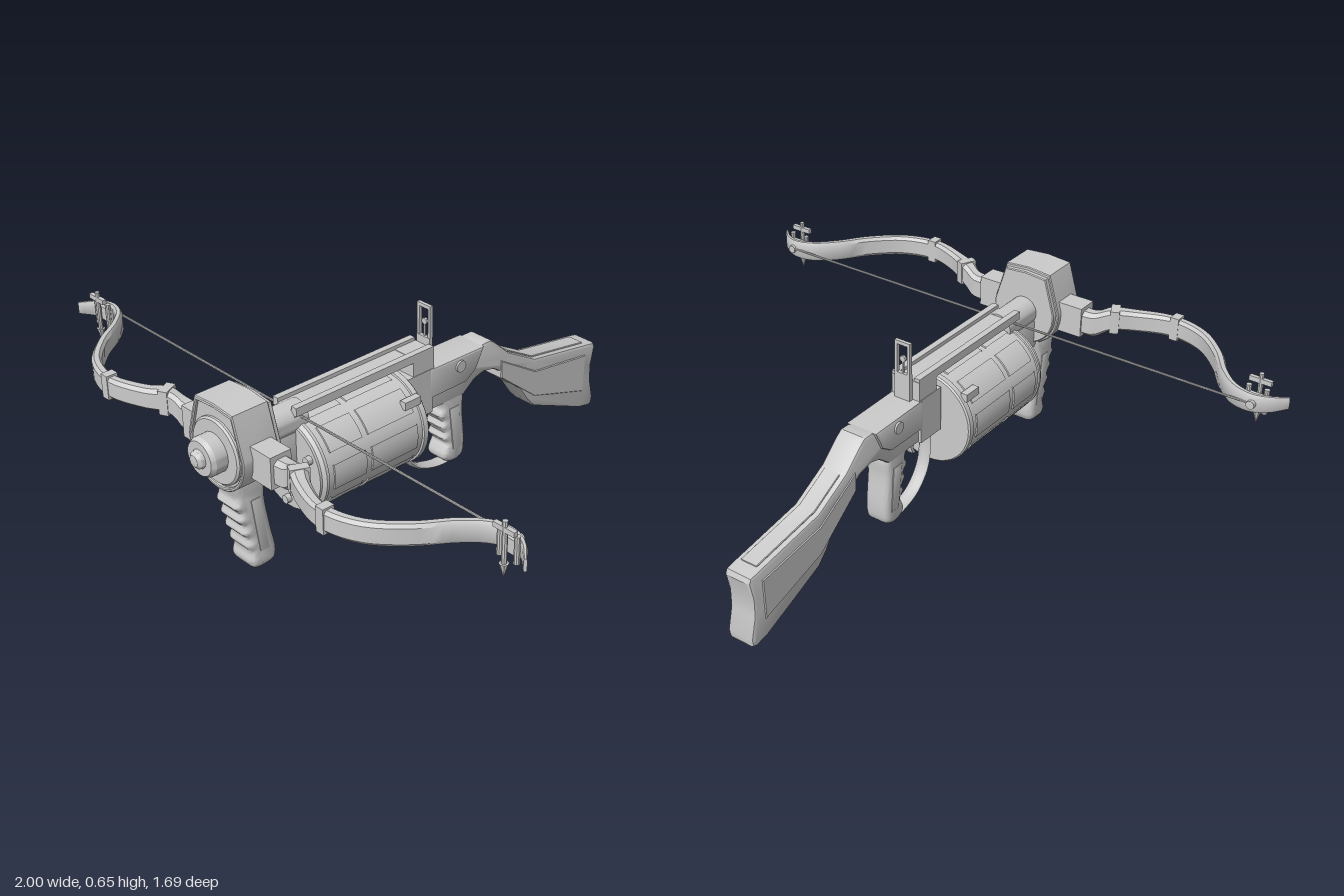
import * as THREE from 'three';
import { toCreasedNormals } from 'three/addons/utils/BufferGeometryUtils.js';

const V3 = (x, y, z) => new THREE.Vector3(x, y, z);
const V2 = (p) => new THREE.Vector2(p[0], p[1]);

export function createModel() {
  const model = new THREE.Group();
  const material = new THREE.MeshStandardMaterial({ color: 0xcccccc });

  const add = (name, geometry, x = 0, y = 0, z = 0, crease = 0.6) => {
    const mesh = new THREE.Mesh(toCreasedNormals(geometry, crease), material);
    mesh.name = name;
    mesh.position.set(x, y, z);
    model.add(mesh);
    return mesh;
  };
  // Box given by its limits
  const box = (name, x0, x1, y0, y1, z0, z1) =>
    add(name, new THREE.BoxGeometry(x1 - x0, y1 - y0, z1 - z0), (x0 + x1) / 2, (y0 + y1) / 2, (z0 + z1) / 2);
  // Cylinder along z
  const rod = (name, r, z0, z1, x, y, sides = 24) =>
    add(name, new THREE.CylinderGeometry(r, r, z1 - z0, sides).rotateX(Math.PI / 2), x, y, (z0 + z1) / 2);
  // Turned part along z, from [radius, z] pairs
  const turned = (name, pts, y) =>
    add(name, new THREE.LatheGeometry(pts.map(V2), 40).rotateX(Math.PI / 2), 0, y, 0, 0.5);
  // Side profile of [z, y] points, extruded across x
  const profile = (name, pts, width, bevel = 0.006, smooth = false, segs = 2, x = 0) => {
    let list = pts.map(V2);
    if (smooth) {
      const curve = new THREE.CatmullRomCurve3(pts.map((p) => V3(p[0], p[1], 0)), true, 'centripetal');
      list = curve.getPoints(pts.length * 4).slice(0, -1).map((p) => new THREE.Vector2(p.x, p.y));
    }
    const g = new THREE.ExtrudeGeometry(new THREE.Shape(list), {
      depth: width - 2 * bevel, bevelEnabled: bevel > 0, bevelSize: bevel, bevelThickness: bevel,
      bevelOffset: -bevel, bevelSegments: segs,
    });
    g.translate(0, 0, bevel - width / 2).rotateY(-Math.PI / 2);
    return add(name, g, x);
  };

  // Receiver and shoulder stock
  box('receiver', -0.055, 0.055, 0.3, 0.455, -0.04, 0.065);
  profile('stock', [
    [-0.035, 0.45], [-0.25, 0.445], [-0.275, 0.453], [-0.31, 0.453], [-0.335, 0.435], [-0.40, 0.375],
    [-0.53, 0.303], [-0.81, 0.257], [-0.835, 0.252], [-0.842, 0.235], [-0.828, 0.17], [-0.828, 0.11],
    [-0.846, 0.035], [-0.842, 0.01], [-0.825, 0.004], [-0.775, 0.015], [-0.535, 0.118], [-0.50, 0.155],
    [-0.42, 0.27], [-0.39, 0.30], [-0.33, 0.338], [-0.28, 0.348], [-0.24, 0.338], [-0.19, 0.30], [-0.035, 0.30],
  ], 0.096, 0.01);
  profile('stockSidePanel', [[-0.36, 0.36], [-0.53, 0.258], [-0.79, 0.222], [-0.785, 0.08], [-0.53, 0.16], [-0.36, 0.295]]
    , 0.102, 0.003, false, 1);
  profile('stockTopPanel', [[-0.41, 0.373], [-0.53, 0.307], [-0.79, 0.264], [-0.79, 0.24], [-0.53, 0.28], [-0.41, 0.345]],
    0.06, 0.002, false, 1);
  profile('receiverRear', [[-0.03, 0.455], [-0.27, 0.45], [-0.235, 0.38], [-0.19, 0.35], [-0.03, 0.35]], 0.115, 0.008);
  rod('receiverPin', 0.012, -0.21, -0.19, 0, 0.42).rotation.y = Math.PI / 2;
  for (const s of [-1, 1]) {
    const pin = rod('sidePin', 0.02, -0.006, 0.006, s * 0.058, 0.42);
    pin.rotation.y = Math.PI / 2;
    pin.position.z = -0.16;
  }

  // Rear grip, trigger and guard
  profile('rearGrip', [
    [-0.09, 0.32], [-0.19, 0.32], [-0.195, 0.24], [-0.205, 0.12], [-0.198, 0.075], [-0.17, 0.06], [-0.13, 0.065],
    [-0.108, 0.09], [-0.118, 0.12], [-0.125, 0.135], [-0.108, 0.16], [-0.116, 0.18], [-0.1, 0.205], [-0.108, 0.225],
    [-0.09, 0.25], [-0.1, 0.275],
  ], 0.09, 0.02, true, 4);
  profile('rearGripPanel', [[-0.125, 0.27], [-0.17, 0.27], [-0.182, 0.11], [-0.145, 0.11]], 0.096, 0.004);
  profile('trigger', [[-0.005, 0.31], [-0.03, 0.31], [-0.034, 0.26], [-0.025, 0.237], [-0.005, 0.23], [-0.02, 0.255]], 0.024, 0.004);
  const guardPath = new THREE.CatmullRomCurve3([
    V3(0, 0.31, 0.057), V3(0, 0.22, 0.056), V3(0, 0.15, 0.04), V3(0, 0.09, -0.01),
    V3(0, 0.062, -0.075), V3(0, 0.054, -0.13), V3(0, 0.06, -0.18),
  ]);
  add('triggerGuard', new THREE.TubeGeometry(guardPath, 32, 0.009, 8).scale(2.6, 1, 1), 0, 0, 0, 1);

  // Bolt rail with a groove along its top
  box('railBase', -0.05, 0.05, 0.503, 0.518, -0.04, 0.51);
  for (const s of [-1, 1]) box('railEdge', s * 0.042 - 0.011, s * 0.042 + 0.011, 0.503, 0.531, -0.045, 0.51);
  box('railRearBlock', -0.053, 0.053, 0.45, 0.52, -0.047, 0.042);
  box('railFrontBlock', -0.045, 0.045, 0.46, 0.51, 0.475, 0.51);

  // Folding rear sight: frame, post and bead
  for (const s of [-1, 1]) box('sightUpright', s * 0.024 - 0.005, s * 0.024 + 0.005, 0.45, 0.655, -0.064, -0.052);
  box('sightTop', -0.029, 0.029, 0.643, 0.655, -0.064, -0.052);
  box('sightBase', -0.029, 0.029, 0.45, 0.545, -0.064, -0.05);
  box('sightPost', -0.003, 0.003, 0.54, 0.6, -0.06, -0.056);
  rod('sightBead', 0.011, -0.062, -0.054, 0, 0.595, 8);

  // Revolving drum with raised panels and bolts
  const drumY = 0.32;
  turned('drum', [[0, 0.075], [0.155, 0.075], [0.16, 0.08], [0.16, 0.098], [0.154, 0.1], [0.154, 0.478],
    [0.158, 0.48], [0.158, 0.49], [0.148, 0.5], [0.148, 0.508], [0.05, 0.508], [0.05, 0.515], [0, 0.515]], drumY);
  for (let i = 0; i < 8; i++) {
    const a = (i / 8) * Math.PI * 2;
    for (const [z0, z1] of [[0.12, 0.31], [0.33, 0.46]]) {
      turnedPanel(a, z0, z1);
    }
  }
  function turnedPanel(a, z0, z1) {
    const pts = [[0.15, z0], [0.158, z0 + 0.002], [0.158, z1 - 0.002], [0.15, z1]].map(V2);
    const panel = add('drumPanel', new THREE.LatheGeometry(pts, 6, a - 0.27, 0.54).rotateX(Math.PI / 2), 0, drumY, 0);
    panel.material = new THREE.MeshStandardMaterial({ color: 0xcccccc, side: THREE.DoubleSide });
  }
  for (let i = 0; i < 6; i++) {
    const a = Math.PI / 6 + (i / 6) * Math.PI * 2;
    rod('drumBolt', 0.014, 0.5, 0.525, Math.cos(a) * 0.12, drumY + Math.sin(a) * 0.12, 12);
  }
  for (const s of [-1, 1]) box('drumLatch', s * 0.125 - 0.012, s * 0.125 + 0.012, 0.415, 0.442, 0.09, 0.155);

  // Front bracket and barrel
  rod('barrel', 0.05, 0.46, 0.66, 0, 0.475, 32);
  profile('drumBracket', [[0.66, 0.45], [0.505, 0.45], [0.505, 0.305], [0.53, 0.305], [0.66, 0.36]], 0.09);

  // Bow hub: angular shroud around a solid core
  const hubOutline = (k) => {
    const pts = [[0.125, 0.015], [0.085, 0.148], [0, 0.155], [-0.085, 0.148], [-0.125, 0.015]];
    for (let i = 0; i <= 16; i++) {
      const a = Math.PI + (i / 16) * Math.PI;
      pts.push([Math.cos(a) * 0.125, Math.sin(a) * 0.125]);
    }
    return pts.map(([x, y]) => new THREE.Vector2(x * k, y * k));
  };
  const hubPart = (name, shape, z0, z1) => add(name, new THREE.ExtrudeGeometry(shape, {
    depth: z1 - z0 - 0.006, bevelSize: 0.003, bevelThickness: 0.003, bevelOffset: -0.003, bevelSegments: 1,
  }), 0, 0.473, z0 + 0.003);
  const shroud = new THREE.Shape(hubOutline(1));
  shroud.holes.push(new THREE.Path(hubOutline(0.91)));
  hubPart('hubShroud', shroud, 0.635, 0.765);
  hubPart('hubCore', new THREE.Shape(hubOutline(0.93)), 0.618, 0.755);
  turned('hubNose', [[0, 0.74], [0.106, 0.74], [0.106, 0.762], [0.1, 0.768], [0.062, 0.768], [0.062, 0.808],
    [0.054, 0.822], [0.03, 0.822], [0.028, 0.832], [0.018, 0.842], [0, 0.845]], 0.473);

  // Front grip with finger grooves
  profile('frontGrip', [
    [0.745, 0.37], [0.63, 0.37], [0.635, 0.30], [0.618, 0.18], [0.602, 0.085], [0.612, 0.055], [0.645, 0.047],
    [0.685, 0.05], [0.7, 0.075], [0.694, 0.11], [0.708, 0.135], [0.702, 0.16], [0.721, 0.185], [0.714, 0.21],
    [0.733, 0.235], [0.725, 0.26], [0.744, 0.285], [0.735, 0.31],
  ], 0.112, 0.024, true, 4);
  profile('frontGripPanel', [[0.695, 0.3], [0.66, 0.3], [0.635, 0.11], [0.67, 0.11]], 0.117, 0.004);

  // Bow limbs: chamfered sections [x, z, middle y, height, thickness]
  const limb = [
    [0.18, 0.69, 0.468, 0.085, 0.06], [0.24, 0.69, 0.47, 0.085, 0.055], [0.29, 0.706, 0.496, 0.075, 0.055],
    [0.36, 0.745, 0.495, 0.07, 0.045], [0.48, 0.782, 0.495, 0.07, 0.036], [0.6, 0.752, 0.495, 0.07, 0.032],
    [0.7, 0.665, 0.495, 0.07, 0.03], [0.77, 0.57, 0.495, 0.07, 0.027], [0.835, 0.512, 0.495, 0.068, 0.024],
    [0.9, 0.497, 0.495, 0.062, 0.02], [0.95, 0.517, 0.495, 0.054, 0.016], [0.995, 0.56, 0.495, 0.04, 0.01],
  ];
  const path = new THREE.CatmullRomCurve3(limb.map((p) => V3(p[0], p[2], p[1])));
  const sizes = new THREE.CatmullRomCurve3(limb.map((p) => V3(p[3], p[4], 0)));
  const ring = [[1, 0.5], [0.7, 1], [-0.7, 1], [-1, 0.5], [-1, -0.5], [-0.7, -1], [0.7, -1], [1, -0.5]];
  const limbGeometry = (s) => {
    const steps = 50, n = ring.length, pos = [], index = [];
    for (let i = 0; i <= steps; i++) {
      const c = path.getPoint(i / steps), t = path.getTangent(i / steps), d = sizes.getPoint(i / steps);
      for (let k = 0; k < n; k++) {
        const [hy, hn] = ring[s > 0 ? k : n - 1 - k];
        const off = (hn * d.y) / 2;
        pos.push(s * (c.x - t.z * off), c.y + (hy * d.x) / 2, c.z + t.x * off);
        const a = i * n + k, b = i * n + ((k + 1) % n);
        if (i < steps) index.push(a, b, a + n, b, b + n, a + n);
        else if (k > 0 && k < n - 1) index.push(i * n, a, b);
      }
    }
    const g = new THREE.BufferGeometry();
    g.setAttribute('position', new THREE.Float32BufferAttribute(pos, 3));
    g.setIndex(index);
    return g;
  };
  for (const s of [-1, 1]) {
    add('bowLimb', limbGeometry(s));
    add('limbSocket', new THREE.BoxGeometry(0.1, 0.105, 0.075), s * 0.152, 0.472, 0.692);
    // Bands around the limb
    for (const [x, z, turn, t] of [[0.3, 0.71, 0.45, 0.058], [0.49, 0.782, 0, 0.04]]) {
      add('limbBand', new THREE.BoxGeometry(0.03, 0.08, t), s * x, 0.496, z).rotation.y = -s * turn;
    }
    // Tip fitting: clamp, pin, crossbar and downward spike
    const x = s * 0.905;
    add('tipClamp', new THREE.BoxGeometry(0.075, 0.045, 0.022), x, 0.495, 0.515);
    for (const o of [-0.03, 0.03]) add('tipRoller', new THREE.CylinderGeometry(0.009, 0.009, 0.085, 10), x + o, 0.495, 0.525);
    add('tipPin', new THREE.CylinderGeometry(0.008, 0.008, 0.145, 8), x, 0.505, 0.54);
    add('tipCrossbar', new THREE.BoxGeometry(0.075, 0.016, 0.014), x, 0.553, 0.54);
    add('tipSpike', new THREE.ConeGeometry(0.014, 0.045, 8).rotateX(Math.PI), x, 0.424, 0.54);
    rod('stringKnob', 0.014, 0.477, 0.5, x, 0.495, 12);
  }
  add('bowString', new THREE.CylinderGeometry(0.004, 0.004, 1.81, 8).rotateZ(Math.PI / 2), 0, 0.495, 0.488);

  return model;
}
